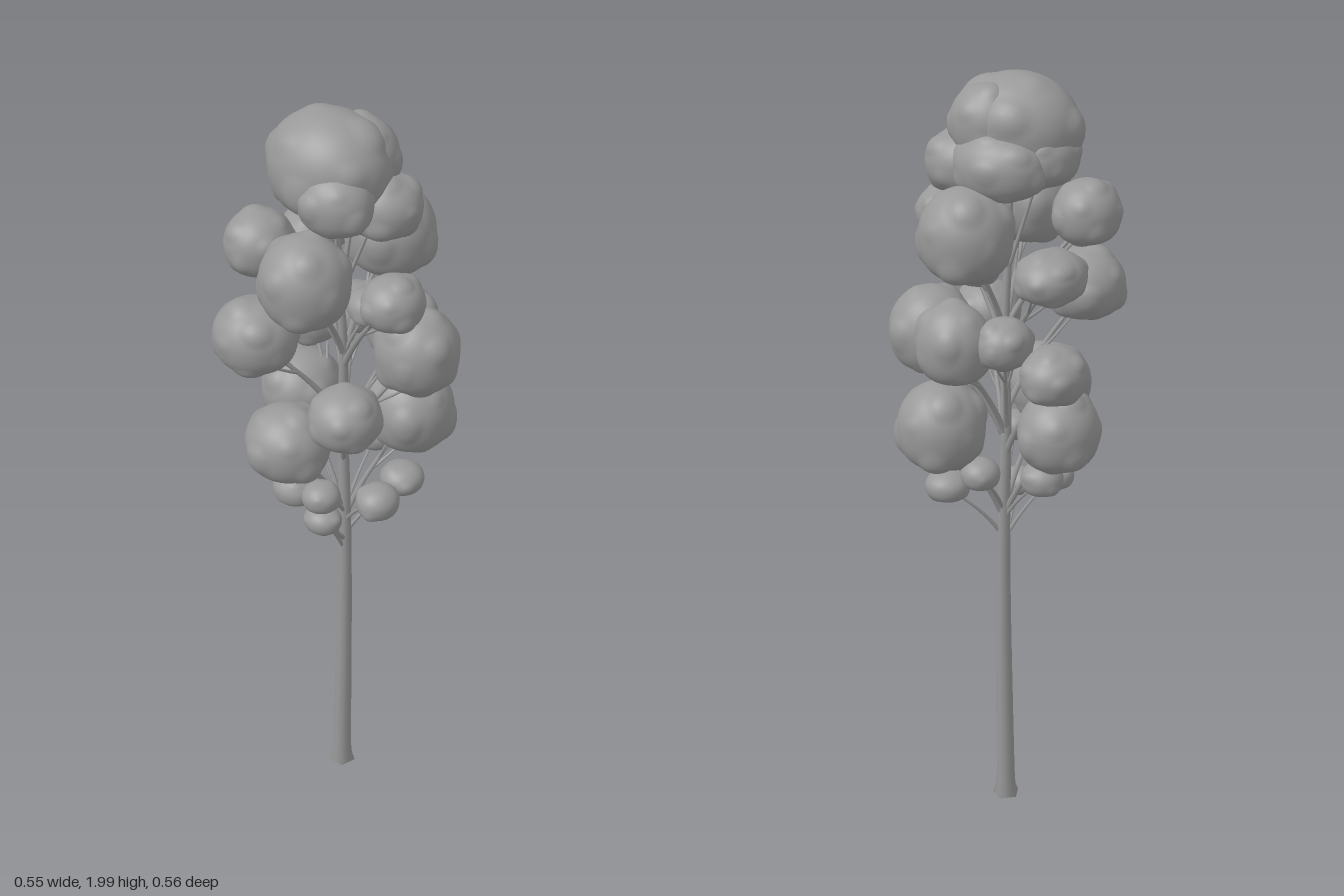
import * as THREE from 'three';
import { mergeVertices } from 'three/addons/utils/BufferGeometryUtils.js';

const V = (x, y, z) => new THREE.Vector3(x, y, z);

// Leaf clumps: x, y, z, half width, half height, half depth
const CLUMPS = [
  // upper and middle tiers
  [-0.168, 1.635, 0.02, 0.112, 0.12, 0.115],
  [-0.077, 1.6, 0.205, 0.082, 0.068, 0.078],
  [0.15, 1.635, 0.035, 0.113, 0.122, 0.12],
  [-0.1, 1.645, -0.165, 0.092, 0.085, 0.088],
  [0.145, 1.565, -0.185, 0.1, 0.065, 0.087],
  [0.012, 1.498, 0.08, 0.056, 0.045, 0.065],
  [-0.168, 1.435, -0.13, 0.106, 0.095, 0.11],
  [-0.182, 1.313, 0.145, 0.093, 0.08, 0.092],
  [0.1, 1.36, 0.155, 0.108, 0.115, 0.112],
  [0.178, 1.365, 0.055, 0.09, 0.108, 0.1],
  [0.15, 1.378, -0.065, 0.08, 0.065, 0.073],
  [0.14, 1.315, -0.192, 0.095, 0.072, 0.085],
  [-0.165, 1.157, -0.04, 0.107, 0.1, 0.113],
  [0.162, 1.137, 0.1, 0.115, 0.118, 0.115],
  [0.072, 1.14, -0.175, 0.115, 0.107, 0.105],
  // small low tufts
  [-0.15, 1.02, 0.05, 0.051, 0.04, 0.051],
  [-0.05, 0.99, 0.15, 0.06, 0.046, 0.056],
  [0.113, 0.95, 0.11, 0.06, 0.042, 0.06],
  [-0.09, 0.895, 0.01, 0.048, 0.037, 0.052],
  [0.15, 1.02, 0.0, 0.052, 0.042, 0.052],
  [-0.08, 0.94, -0.09, 0.047, 0.042, 0.06],
  [0.07, 1.0, -0.13, 0.056, 0.046, 0.056],
];

// Overlapping clumps of the top crown
const CROWN = [
  [-0.015, 1.86, -0.02, 0.138, 0.138, 0.163],
  [0.085, 1.79, -0.02, 0.084, 0.085, 0.12],
  [0.03, 1.775, 0.095, 0.095, 0.082, 0.105],
  [-0.085, 1.815, 0.045, 0.084, 0.085, 0.1],
  [0.035, 1.88, 0.03, 0.09, 0.098, 0.1],
  [0.0, 1.805, -0.1, 0.1, 0.078, 0.085],
  [0.015, 1.755, 0.03, 0.08, 0.063, 0.08],
];

// Trunk line, shared by the trunk and the starts of the branches
const trunkPath = new THREE.CatmullRomCurve3([
  V(0.006, 0, 0), V(0.008, 0.3, 0.003), V(0.012, 0.6, 0.004), V(0.014, 0.85, 0.002),
  V(0.016, 1.1, -0.005), V(0.006, 1.35, 0.003), V(-0.004, 1.6, -0.004), V(-0.01, 1.82, 0),
]);

function trunkAt(y) {
  let a = 0, b = 1;
  for (let i = 0; i < 25; i++) {
    const m = (a + b) / 2;
    if (trunkPath.getPointAt(m).y < y) a = m; else b = m;
  }
  return trunkPath.getPointAt(a);
}

// Tube whose radius follows a rule of distance along the path and angle
function limb(path, segments, sides, radius) {
  const geo = new THREE.TubeGeometry(path, segments, 1, sides);
  const pos = geo.attributes.position, v = V(0, 0, 0);
  for (let i = 0; i < pos.count; i++) {
    const t = Math.floor(i / (sides + 1)) / segments;
    const angle = ((i % (sides + 1)) / sides) * Math.PI * 2;
    const p = path.getPointAt(t);
    v.fromBufferAttribute(pos, i).sub(p).multiplyScalar(radius(t, angle)).add(p);
    pos.setXYZ(i, v.x, v.y, v.z);
  }
  return geo;
}

// Lumpy ball: a core sphere joined with smaller spheres spread around it
function clumpGeometry([x, y, z, rx, ry, rz], seed) {
  const big = rx > 0.07;
  const lumps = [];
  const n = big ? 12 : 5;
  for (let i = 0; i < n; i++) {
    const h = 1 - (2 * (i + 0.5)) / n, a = i * 2.4 + seed * 1.7, s = Math.sqrt(1 - h * h);
    const size = 0.47 + 0.03 * Math.sin(i * 3.1 + seed * 2.3);
    lumps.push({ c: V(s * Math.cos(a), h, s * Math.sin(a)).multiplyScalar(0.54), r: size });
  }
  let geo = new THREE.IcosahedronGeometry(1, big ? 10 : 5);
  geo.deleteAttribute('uv');
  geo.deleteAttribute('normal');
  geo = mergeVertices(geo, 1e-4);
  const pos = geo.attributes.position, d = V(0, 0, 0);
  for (let i = 0; i < pos.count; i++) {
    d.fromBufferAttribute(pos, i).normalize();
    let r = 0.95;
    for (const l of lumps) {
      const k = d.dot(l.c), q = l.r * l.r - l.c.lengthSq() + k * k;
      if (k > 0 && q > 0) r = Math.max(r, k + Math.sqrt(q));
    }
    // broad, flattened underside
    const h = d.y < 0 ? d.y * (1.5 + 0.55 * d.y) : d.y;
    pos.setXYZ(i, x + d.x * r * rx, y + h * r * ry, z + d.z * r * rz);
  }
  geo.computeVertexNormals();
  return geo;
}

export function createModel() {
  const grey = new THREE.MeshStandardMaterial({ color: 0x999999 });
  grey.name = 'grey';
  const model = new THREE.Group();
  model.name = 'tree';
  const add = (parent, name, geo) => {
    const mesh = new THREE.Mesh(geo, grey);
    mesh.name = name;
    parent.add(mesh);
    return mesh;
  };
  const group = (name) => {
    const g = new THREE.Group();
    g.name = name;
    model.add(g);
    return g;
  };

  // Trunk with a slightly ridged, flared foot
  add(model, 'trunk', limb(trunkPath, 120, 15, (t, a) => {
    const flare = Math.exp(-t * 90);
    return 0.0245 - 0.018 * t + flare * (0.008 + 0.004 * Math.cos(a * 5));
  }));
  const foot = add(model, 'trunkFoot', new THREE.CircleGeometry(0.03, 15).rotateX(Math.PI / 2));
  foot.position.set(0.006, 0.001, 0);

  // Steep branches that leave close to the trunk, forking into twigs below each clump
  const branches = group('branches');
  CLUMPS.forEach(([x, y, z, rx, ry, rz], i) => {
    const big = rx > 0.07;
    const start = trunkAt(y - (big ? 0.3 : 0.17));
    const tip = V(x, y - ry * 0.3, z);
    const bend = start.clone().lerp(tip, 0.5).add(V(-x * 0.2, 0, -z * 0.2));
    const path = new THREE.QuadraticBezierCurve3(start, bend, tip);
    const thick = big ? 0.009 : 0.006;
    add(branches, 'branch', limb(path, 10, 6, (t) => thick * (1 - 0.6 * t)));
    if (!big) return;
    for (let k = 0; k < 2; k++) {
      const a = k * 3 + i;
      const from = path.getPointAt(0.45 + 0.12 * k);
      const to = V(x + Math.cos(a) * rx * 0.5, y - ry * 0.4, z + Math.sin(a) * rz * 0.5);
      const mid = from.clone().lerp(to, 0.5).add(V(0, -0.012, 0));
      const twig = new THREE.QuadraticBezierCurve3(from, mid, to);
      add(branches, 'twig', limb(twig, 6, 5, (t) => 0.0045 * (1 - 0.5 * t)));
    }
  });

  // Bare stub low on the trunk
  const stub = new THREE.QuadraticBezierCurve3(trunkAt(0.77), V(-0.02, 0.79, 0.01), V(-0.05, 0.85, 0.015));
  add(branches, 'stub', limb(stub, 8, 6, (t) => 0.009 * (1 - 0.7 * t)));

  // Limbs holding up the crown
  CROWN.slice(1).forEach(([x, y, z]) => {
    const path = new THREE.QuadraticBezierCurve3(trunkAt(1.5), V(x * 0.4, 1.62, z * 0.4), V(x, y, z));
    add(branches, 'crownLimb', limb(path, 8, 6, (t) => 0.006 * (1 - 0.5 * t)));
  });

  // Foliage
  const foliage = group('foliage');
  CLUMPS.forEach((c, i) => add(foliage, 'leafClump', clumpGeometry(c, i)));
  const crown = group('crown');
  CROWN.forEach((c, i) => add(crown, 'crownClump', clumpGeometry(c, i + 40)));

  return model;
}
